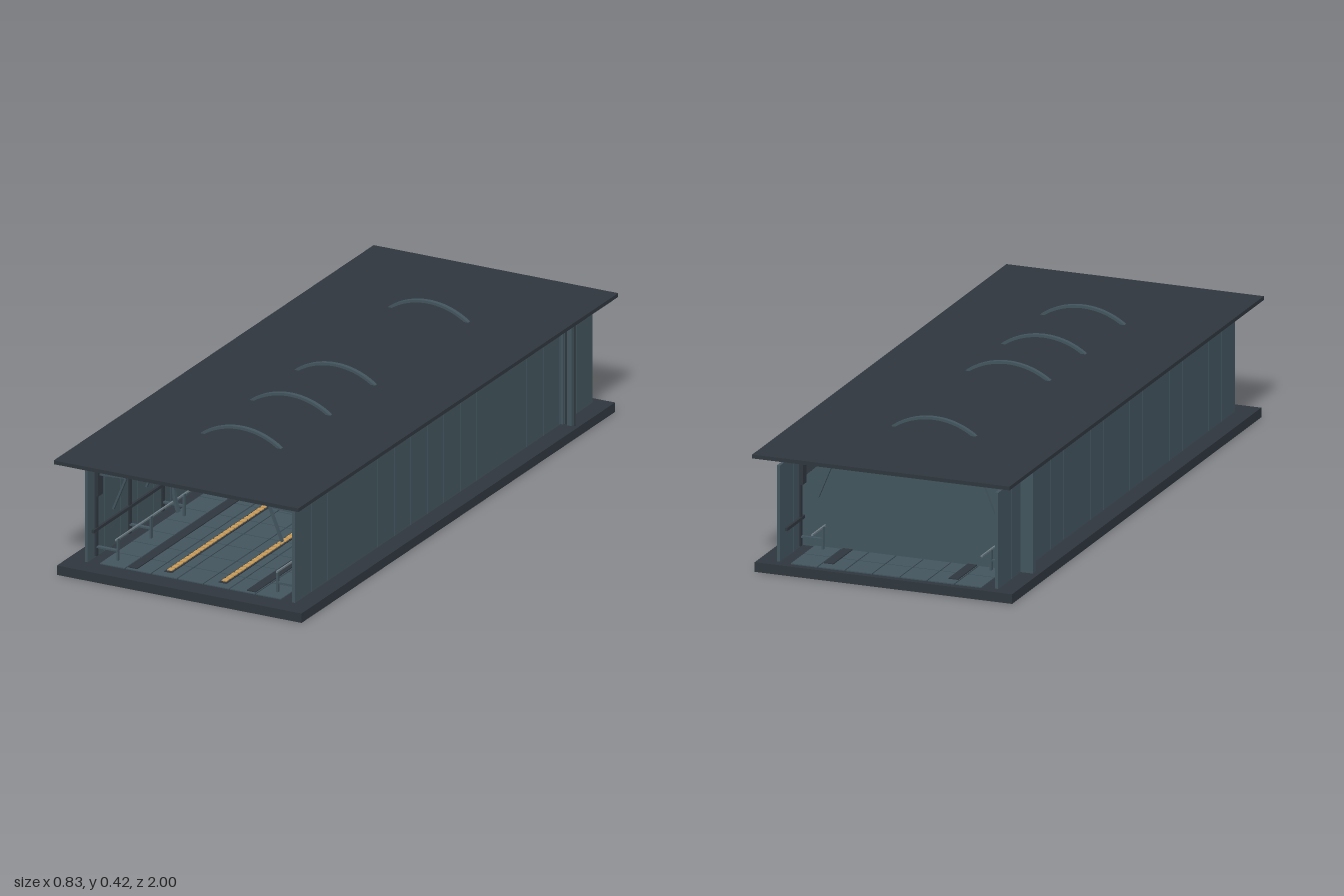
import * as THREE from 'three';

const mat = (name, color, side = THREE.FrontSide) => {
  const m = new THREE.MeshStandardMaterial({ color, side });
  m.name = name;
  return m;
};

export function createModel() {
  const root = new THREE.Group();
  root.name = 'corridor';
  const dark = mat('dark metal', 0x2e363d);
  const hull = mat('hull blue grey', 0x42545d);
  const steel = mat('pale steel', 0x6d7c83);
  const gold = mat('gold', 0xc89b58);

  const add = (name, geo, m, x = 0, y = 0, z = 0, parent = root) => {
    const mesh = new THREE.Mesh(geo, m);
    mesh.name = name;
    mesh.position.set(x, y, z);
    parent.add(mesh);
    return mesh;
  };
  const box = (name, w, h, d, m, x, y, z, parent = root) =>
    add(name, new THREE.BoxGeometry(w, h, d), m, x, y, z, parent);
  // square bar between two points of a cross-section
  const bar = (name, a, b, t, d, m, z, parent = root) => {
    const dx = b[0] - a[0], dy = b[1] - a[1];
    const mesh = box(name, Math.hypot(dx, dy), t, d, m, (a[0] + b[0]) / 2, (a[1] + b[1]) / 2, z, parent);
    mesh.rotation.z = Math.atan2(dy, dx);
    return mesh;
  };
  const plate = (points, depth) => new THREE.ExtrudeGeometry(
    new THREE.Shape(points.map(p => new THREE.Vector2(...p))), { depth, bevelEnabled: false });

  // slabs
  box('baseSlab', 0.826, 0.03, 1.96, dark, 0, 0.015, 0);
  box('roofSlab', 0.826, 0.012, 2, dark, 0, 0.366, 0);

  // floor tiles
  for (let i = 0; i < 18; i++) {
    for (let j = -3; j <= 3; j++) {
      box('floorTile', 0.084, 0.003, 0.1, hull, j * 0.088, 0.0315, 0.86 - i * 0.104);
    }
  }

  // floor strips and studs
  for (const s of [-1, 1]) {
    box('floorChannel', 0.03, 0.004, 1.82, dark, s * 0.2, 0.034, -0.01);
    box('goldRailBed', 0.026, 0.003, 1.6, dark, s * 0.092, 0.0335, 0.08);
    for (let i = 0; i < 60; i++) {
      box('goldRailLink', 0.016, 0.004, 0.02, gold, s * 0.092, 0.036, 0.86 - i * 0.0265);
    }
  }

  // side walls, roof stubs and bracing, one bay after another
  for (let i = 0; i < 18; i++) {
    const z = 0.863 - i * 0.1035;
    for (const s of [-1, 1]) {
      box('wallPanel', 0.01, 0.3, 0.101, hull, s * 0.35, 0.18, z);
      box('roofStub', 0.012, 0.03, 0.012, dark, s * 0.2, 0.345, z - 0.005);
      if (i % 2 === 0) {
        const p = (x, y) => [s * x, y];
        bar('upperBrace', p(0.1, 0.346), p(0.24, 0.302), 0.007, 0.01, hull, z);
        bar('wallBrace', p(0.24, 0.302), p(0.345, 0.297), 0.007, 0.01, hull, z);
        bar('steepBrace', p(0.165, 0.355), p(0.242, 0.3), 0.006, 0.01, dark, z);
        bar('lowerBrace', p(0.242, 0.3), p(0.285, 0.195), 0.006, 0.01, hull, z);
        box('wallLamp', 0.012, 0.09, 0.03, dark, s * 0.335, 0.275, z);
        box('wallPost', 0.006, 0.29, 0.014, dark, s * 0.342, 0.18, z);
        box('railBracket', 0.075, 0.005, 0.012, hull, s * 0.307, 0.064, z);
        box('railPost', 0.006, 0.07, 0.01, hull, s * 0.27, 0.067, z);
      }
    }
  }
  for (const s of [-1, 1]) {
    box('sideRail', 0.005, 0.005, 1.75, steel, s * 0.272, 0.1, 0);
    box('wallConduit', 0.008, 0.01, 1.8, dark, s * 0.341, 0.12, -0.01);
  }

  // arch hoops breaking through the roof
  const hoopShape = new THREE.Shape();
  hoopShape.absarc(0, 0, 0.232, -0.36, Math.PI + 0.36, false);
  hoopShape.absarc(0, 0, 0.224, Math.PI + 0.36, -0.36, true);
  const hoopGeo = new THREE.ExtrudeGeometry(hoopShape, { depth: 0.014, bevelEnabled: false, curveSegments: 48 });
  for (const z of [0.583, 0.275, -0.005, -0.588]) {
    add('archHoop', hoopGeo, hull, 0, 0.184, z);
  }

  // end bulkhead with vertical slats
  box('bulkhead', 0.79, 0.33, 0.016, hull, 0, 0.195, -0.762);
  for (let i = 0; i < 28; i++) {
    const x = -0.385 + i * 0.0285;
    box('bulkheadSlat', 0.016, 0.328, 0.008, hull, x, 0.195, -0.75);
    box('slatGroove', 0.006, 0.328, 0.002, dark, x + 0.0142, 0.195, -0.753);
  }

  // dark corners above the bulkhead's arched rear face
  for (const s of [-1, 1]) {
    const c = add('rearCorner', plate(
      s > 0 ? [[0.1, 0.358], [0.2, 0.335], [0.3, 0.28], [0.345, 0.24], [0.345, 0.358]]
        : [[-0.1, 0.358], [-0.345, 0.358], [-0.345, 0.24], [-0.3, 0.28], [-0.2, 0.335]], 0.004), dark);
    c.position.z = -0.775;
  }

  // gate machine
  const gate = new THREE.Group();
  gate.name = 'gate';
  gate.position.set(0, 0.18, -0.72);
  root.add(gate);
  box('gateBackPlate', 0.19, 0.265, 0.02, dark, 0, 0.003, -0.015, gate);
  add('gateRing', new THREE.TorusGeometry(0.12, 0.005, 8, 64), steel, 0, 0, 0.012, gate);
  add('gateOuterRing', new THREE.TorusGeometry(0.113, 0.006, 8, 64), hull, 0, 0, 0.008, gate);
  add('gateInnerRing', new THREE.TorusGeometry(0.103, 0.003, 6, 64), gold, 0, 0, 0.008, gate);
  const disc = add('gateDisc', new THREE.CylinderGeometry(0.108, 0.108, 0.01, 48), hull, 0, 0, 0, gate);
  disc.rotation.x = Math.PI / 2;
  const ringOf = (name, n, r, w, h, d, m, z, twist) => {
    for (let i = 0; i < n; i++) {
      const a = (i / n) * Math.PI * 2;
      const b = box(name, w, h, d, m, Math.cos(a) * r, Math.sin(a) * r, z, gate);
      b.rotation.z = a + twist;
    }
  };
  ringOf('gateTooth', 48, 0.127, 0.006, 0.005, 0.012, dark, 0.008, 0);
  ringOf('gateStud', 20, 0.09, 0.018, 0.016, 0.014, gold, 0.008, 0.35);
  ringOf('gateStudCap', 20, 0.093, 0.007, 0.006, 0.006, dark, 0.014, 0.35);
  ringOf('gateBlock', 16, 0.068, 0.019, 0.017, 0.016, dark, 0.009, 0.5);
  const star = [];
  for (let i = 0; i < 24; i++) {
    const r = i % 2 ? 0.044 : 0.058, a = (i / 24) * Math.PI * 2;
    star.push([Math.cos(a) * r, Math.sin(a) * r]);
  }
  add('gateStar', plate(star, 0.006), gold, 0, 0, 0.007, gate);
  const core = star.map(([x, y]) => [x * 0.88, y * 0.88]);
  add('gateCore', plate(core, 0.006), dark, 0, 0, 0.011, gate);
  const lamp = add('gateLamp', new THREE.CylinderGeometry(0.031, 0.031, 0.012, 32), gold, 0, 0.11, 0.024, gate);
  lamp.rotation.x = Math.PI / 2;

  // gate arms and feet
  for (const s of [-1, 1]) {
    bar('gateArm', [s * 0.118, 0.03], [s * 0.18, 0.15], 0.022, 0.012, dark, -0.004, gate);
    for (let i = 0; i < 8; i++) {
      const t = i / 7;
      const link = box('gateArmLink', 0.012, 0.019, 0.014, gold, s * (0.12 + t * 0.058), 0.034 + t * 0.112, 0.001, gate);
      link.rotation.z = s * 1.1;
    }
    const foot = [[0.105, -0.14], [0.15, -0.14], [0.135, -0.03], [0.122, -0.03]];
    const pts = foot.map(([x, y]) => [s * x, y]);
    add('gateLeg', plate(pts, 0.02), hull, 0, 0, -0.012, gate);
    box('gateFoot', 0.036, 0.024, 0.04, dark, s * 0.13, -0.132, 0, gate);
  }
  return root;
}
